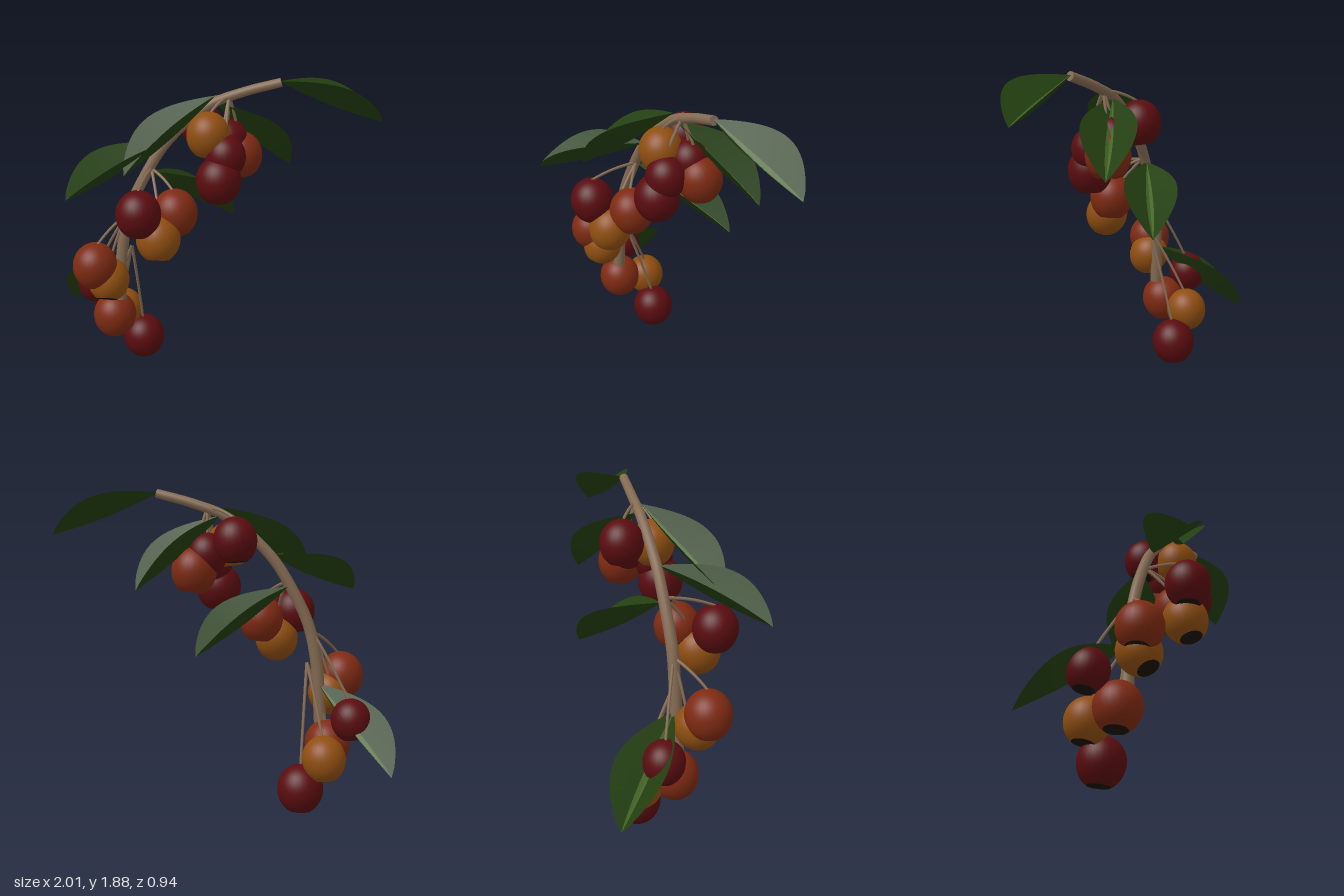
import * as THREE from 'three';

const V = (a) => new THREE.Vector3(...a);
const mat = (name, color, side = THREE.FrontSide) => {
  const m = new THREE.MeshStandardMaterial({ color, side });
  m.name = name;
  return m;
};

export function createModel() {
  const model = new THREE.Group();
  const M = {
    bark: mat('bark', 0x846a52),
    leaf: mat('leaf green', 0x233f10, THREE.DoubleSide),
    rib: mat('midrib green', 0x456628, THREE.DoubleSide),
    red: mat('dark red', 0x5a0c10),
    rust: mat('rust orange', 0x7e2a12),
    amber: mat('amber', 0x8f4e10),
    calyx: mat('dark calyx', 0x1a100b),
  };
  const add = (parent, name, geo, material) => {
    const mesh = new THREE.Mesh(geo, material);
    mesh.name = name;
    parent.add(mesh);
    return mesh;
  };

  // Tube whose radius runs from r0 to r1
  const taperedTube = (curve, segs, r0, r1, sides) => {
    const geo = new THREE.TubeGeometry(curve, segs, 1, sides);
    const pos = geo.attributes.position, p = new THREE.Vector3();
    for (let i = 0; i < pos.count; i++) {
      const t = Math.floor(i / (sides + 1)) / segs;
      const c = curve.getPointAt(t);
      p.fromBufferAttribute(pos, i).sub(c).multiplyScalar(r0 + (r1 - r0) * t).add(c);
      pos.setXYZ(i, p.x, p.y, p.z);
    }
    return geo;
  };

  // Main branch with flat cut ends
  const branch = new THREE.CatmullRomCurve3([
    [-0.575, 0.5, -0.01], [-0.55, 0.84, -0.02], [-0.5, 1.08, -0.025], [-0.41, 1.28, -0.04],
    [-0.27, 1.5, -0.06], [-0.02, 1.72, -0.09], [0.18, 1.8, -0.1], [0.4, 1.86, -0.1],
  ].map(V));
  add(model, 'branch', taperedTube(branch, 60, 0.038, 0.027, 14), M.bark);
  for (const [t, r, s] of [[0, 0.038, -1], [1, 0.027, 1]]) {
    const cap = add(model, 'branchEnd', new THREE.CircleGeometry(r, 14), M.bark);
    const p = branch.getPointAt(t);
    cap.position.copy(p);
    cap.lookAt(p.clone().addScaledVector(branch.getTangentAt(t), s));
  }

  // One half of a folded leaf: a plane bent along the chord, edges lifted
  const leafHalf = (a, b, side, halfWidth, raise) => {
    const geo = new THREE.PlaneGeometry(1, 1, 4, 20);
    const chord = b.clone().sub(a);
    const across = chord.clone().cross(new THREE.Vector3(0, 1, 0)).normalize();
    const up = across.clone().cross(chord).normalize();
    const pos = geo.attributes.position;
    for (let i = 0; i < pos.count; i++) {
      const u = pos.getX(i) + 0.5, t = Math.min(1, Math.max(0, pos.getY(i) + 0.5));
      const bow = Math.sin(Math.PI * t);
      const w = u * halfWidth * Math.pow(Math.max(0, Math.sin(Math.PI * Math.pow(t, 1.12))), 0.85);
      const p = a.clone().addScaledVector(chord, t)
        .addScaledVector(across, side * w)
        .addScaledVector(up, 0.82 * w - 0.02 * bow + raise);
      pos.setXYZ(i, p.x, p.y, p.z);
    }
    geo.computeVertexNormals();
    return geo;
  };

  // Leaves: base, tip
  const leaves = [
    [[0.39, 1.865, -0.1], [1.0, 1.62, -0.23]],
    [[-0.27, 1.5, -0.05], [-0.75, 1.27, 0.45]],
    [[0.02, 1.78, -0.08], [-0.46, 1.37, 0.27]],
    [[0.02, 1.73, -0.1], [0.455, 1.31, -0.39]],
    [[-0.38, 1.32, -0.06], [0.1, 0.95, -0.45]],
    [[-0.56, 0.74, -0.03], [-0.99, 0.3, -0.42]],
  ];
  for (const [base, tip] of leaves) {
    const leaf = new THREE.Group();
    leaf.name = 'leaf';
    for (const side of [-1, 1]) {
      add(leaf, 'leafHalf', leafHalf(V(base), V(tip), side, 0.157, 0), M.leaf);
      add(leaf, 'midrib', leafHalf(V(base), V(tip), side, 0.02, 0.004), M.rib);
    }
    model.add(leaf);
  }

  // Fruit clusters: stem origin, then [colour, centre, radius, tilt about x, tilt about z]
  const clusters = [
    { node: [-0.49, 0.86, -0.015], fruits: [
      ['red', [-0.475, 0.147, -0.22], 0.135, 0.1, 0],
      ['amber', [-0.61, 0.335, -0.23], 0.127, 0.1, -0.1],
      ['rust', [-0.62, 0.378, -0.035], 0.135, 0, -0.1],
    ] },
    { node: [-0.52, 1.05, -0.025], fruits: [
      ['red', [-0.76, 0.55, -0.135], 0.118, 0.1, -0.15],
      ['amber', [-0.62, 0.665, 0.085], 0.127, -0.5, 0],
      ['rust', [-0.69, 0.77, 0.13], 0.134, 0, -0.15],
    ] },
    { node: [-0.36, 1.34, -0.04], fruits: [
      ['red', [-0.385, 1.145, 0.255], 0.132, 0, 0],
      ['rust', [-0.2, 1.11, 0.08], 0.134, 0, 0.1],
      ['amber', [-0.285, 0.98, 0.185], 0.132, -0.3, 0],
    ] },
    { node: [0.1, 1.775, -0.09], fruits: [
      ['amber', [-0.015, 1.56, -0.02], 0.128, 0, -0.1],
      ['red', [0.055, 1.305, 0.045], 0.134, 0, 0],
      ['red', [0.09, 1.44, 0.005], 0.12, 0, 0],
      ['rust', [0.162, 1.415, -0.175], 0.133, 0.1, 0.1],
      ['red', [-0.085, 1.59, -0.215], 0.127, 0.1, -0.1],
      ['red', [0.09, 1.51, -0.15], 0.117, 0.1, 0],
    ] },
  ];

  // Fruit is open at the base, where a shallow dark dish closes it
  const profile = [];
  for (let i = 0; i <= 20; i++) {
    const a = Math.PI * (5 / 6) * (1 - i / 20);
    const y = Math.cos(a);
    profile.push(new THREE.Vector2(i === 20 ? 0 : Math.sin(a), y * (y < 0 ? 1.12 : 1.06)));
  }
  const rim = profile[0];
  const body = new THREE.LatheGeometry(profile, 28);
  const calyx = new THREE.LatheGeometry([
    new THREE.Vector2(0, rim.y + 0.03), new THREE.Vector2(rim.x * 0.8, rim.y + 0.02), rim,
  ], 28);

  for (const { node, fruits } of clusters) {
    const cluster = new THREE.Group();
    cluster.name = 'fruitCluster';
    for (const [colour, centre, r, rx, rz] of fruits) {
      const fruit = new THREE.Group();
      fruit.name = 'fruit';
      add(fruit, 'fruitBody', body, M[colour]);
      add(fruit, 'calyx', calyx, M.calyx);
      fruit.position.set(...centre);
      fruit.rotation.set(rx, 0, rz);
      fruit.scale.setScalar(r);
      cluster.add(fruit);

      // Stem bows slightly, then drops into the top of the fruit
      const start = V(node);
      const end = new THREE.Vector3(0, r, 0).applyEuler(fruit.rotation).add(fruit.position);
      const mid = start.clone().lerp(end, 0.55);
      mid.y += 0.03;
      const stem = new THREE.QuadraticBezierCurve3(start, mid, end);
      add(cluster, 'stem', taperedTube(stem, 10, 0.01, 0.008, 7), M.bark);
    }
    model.add(cluster);
  }
  return model;
}
